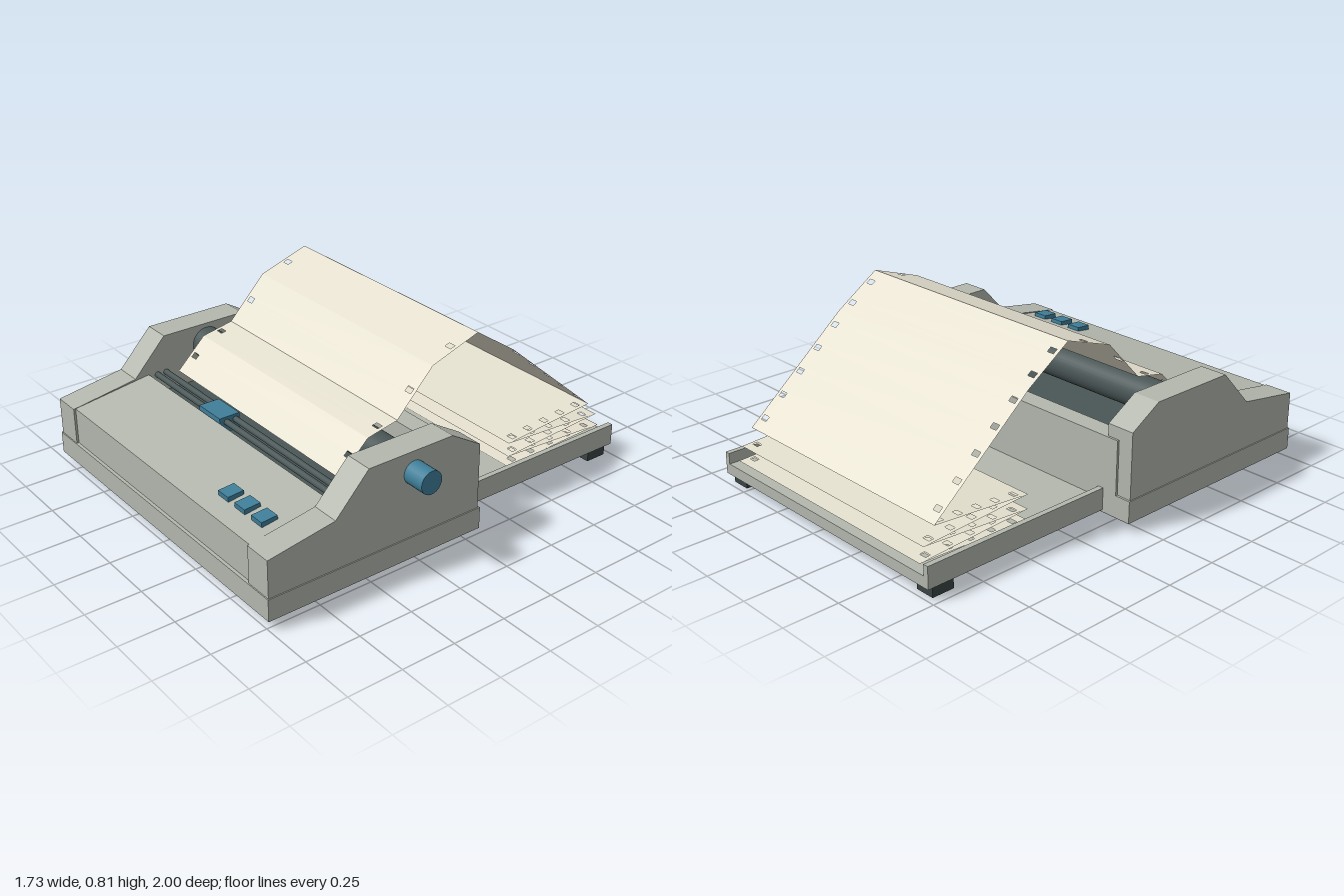
import * as THREE from 'three';
import { mergeGeometries } from 'three/addons/utils/BufferGeometryUtils.js';

const mat = (color, extra = {}) => new THREE.MeshStandardMaterial({ color, ...extra });

export function createModel() {
  const group = new THREE.Group();
  const body = mat(0xb4b8ae);
  const dark = mat(0x4a5656);
  const feet = mat(0x3a4444);
  const blue = mat(0x3f7f99);
  const paper = mat(0xe6e1d0, { side: THREE.DoubleSide });
  const cx = -0.05; // middle of the housing

  const add = (name, geometry, material) => {
    const mesh = new THREE.Mesh(geometry, material);
    mesh.name = name;
    group.add(mesh);
    return mesh;
  };
  // Box given by its limits on each axis
  const box = (name, m, x0, x1, y0, y1, z0, z1) =>
    add(name, new THREE.BoxGeometry(x1 - x0, y1 - y0, z1 - z0), m)
      .position.set((x0 + x1) / 2, (y0 + y1) / 2, (z0 + z1) / 2);
  // Side profile of [z, y] points, extruded from x0 to x1
  const profile = (name, m, pts, x0, x1) => {
    const shape = new THREE.Shape(pts.map(p => new THREE.Vector2(...p)));
    const g = new THREE.ExtrudeGeometry(shape, { depth: x1 - x0, bevelEnabled: false });
    g.rotateY(-Math.PI / 2).translate(x1, 0, 0);
    return add(name, g, m);
  };
  // Cylinder lying along x
  const rod = (name, m, x0, x1, r, y, z, sides = 32) => {
    const g = new THREE.CylinderGeometry(r, r, x1 - x0, sides).rotateZ(Math.PI / 2);
    add(name, g, m).position.set((x0 + x1) / 2, y, z);
  };

  // Housing: base, side cheeks, front cover, rear wall
  box('base', body, -0.865, 0.765, 0.04, 0.14, -0.06, 1);
  const cheek = [[0.995, 0.14], [0.995, 0.31], [0.68, 0.36], [0.52, 0.53],
    [0.1, 0.53], [-0.05, 0.44], [-0.05, 0.14]];
  profile('leftCheek', body, cheek, 0.63, 0.76);
  profile('rightCheek', body, cheek, -0.86, -0.73);
  profile('frontCover', body,
    [[0.985, 0.14], [0.985, 0.31], [0.61, 0.362], [0.61, 0.14]], -0.73, 0.63);
  box('rearWall', body, -0.73, 0.63, 0.14, 0.385, -0.05, 0.03);
  box('rearPlate', body, -0.79, 0.69, 0.14, 0.385, -0.06, -0.05);

  // Print mechanism
  box('mechanismFloor', dark, -0.73, 0.63, 0.14, 0.26, 0.03, 0.61);
  rod('platen', dark, -0.73, 0.63, 0.075, 0.435, 0.295);
  rod('platenKnob', blue, 0.76, 0.865, 0.052, 0.435, 0.295, 24);
  rod('carriageRail', dark, -0.73, 0.63, 0.014, 0.35, 0.565, 12);
  rod('guideRail', dark, -0.73, 0.63, 0.014, 0.35, 0.52, 12);
  box('printHead', blue, -0.32, -0.16, 0.3, 0.375, 0.5, 0.6);

  // Control buttons, tilted with the cover
  for (const x of [0.315, 0.43, 0.545]) {
    const b = add('button', new THREE.BoxGeometry(0.07, 0.026, 0.075), blue);
    b.position.set(x, 0.335, 0.857);
    b.rotation.x = 0.07;
  }

  // Paper tray: floor and side rails
  box('trayFloor', body, -0.72, 0.62, 0.05, 0.1, -1, -0.06);
  box('trayRailRight', body, -0.72, -0.695, 0.1, 0.15, -1, -0.06);
  box('trayRailLeft', body, 0.595, 0.62, 0.1, 0.15, -1, -0.06);

  // Feet
  for (const s of [-1, 1]) {
    for (const z of [0.855, 0.1]) {
      const x = cx + s * 0.625;
      box('foot', feet, x - 0.095, x + 0.095, 0, 0.042, z - 0.075, z + 0.075);
    }
    const x = cx + s * 0.615;
    box('trayFoot', feet, x - 0.045, x + 0.045, 0, 0.052, -0.97, -0.865);
  }

  // Fan-fold paper: [z, y, sprocket holes on the stretch to the next point]
  const folds = [[0.5, 0.38, 1], [0.36, 0.515, 1], [0.21, 0.545, 1], [0.03, 0.733, 1],
    [-0.21, 0.812, 2], [-0.42, 0.67, 5], [-0.905, 0.258, 5], [-0.42, 0.22, 5],
    [-0.96, 0.188, 5], [-0.42, 0.155, 5], [-0.98, 0.125, 5], [-0.42, 0.105, 0]];
  const sheets = [];
  for (let i = 0; i < folds.length - 1; i++) {
    const [z0, y0, n] = folds[i];
    const [z1, y1] = folds[i + 1];
    const len = Math.hypot(z1 - z0, y1 - y0);
    const rect = (Type, xa, xb, a, b) => new Type([[xa, a], [xb, a], [xb, b], [xa, b]]
      .map(p => new THREE.Vector2(...p)));
    const sheet = rect(THREE.Shape, -0.65, 0.55, 0, len);
    for (let k = 0; k < n; k++) {
      const s = len * (k + 0.5) / n;
      for (const x of [-0.615, 0.515])
        sheet.holes.push(rect(THREE.Path, x - 0.017, x + 0.017, s - 0.012, s + 0.012));
    }
    const g = new THREE.ShapeGeometry(sheet);
    const p = g.attributes.position;
    for (let v = 0; v < p.count; v++) {
      const t = p.getY(v) / len;
      p.setXYZ(v, p.getX(v), y0 + (y1 - y0) * t, z0 + (z1 - z0) * t);
    }
    g.computeVertexNormals();
    sheets.push(g);
  }
  add('fanfoldPaper', mergeGeometries(sheets), paper);

  return group;
}
